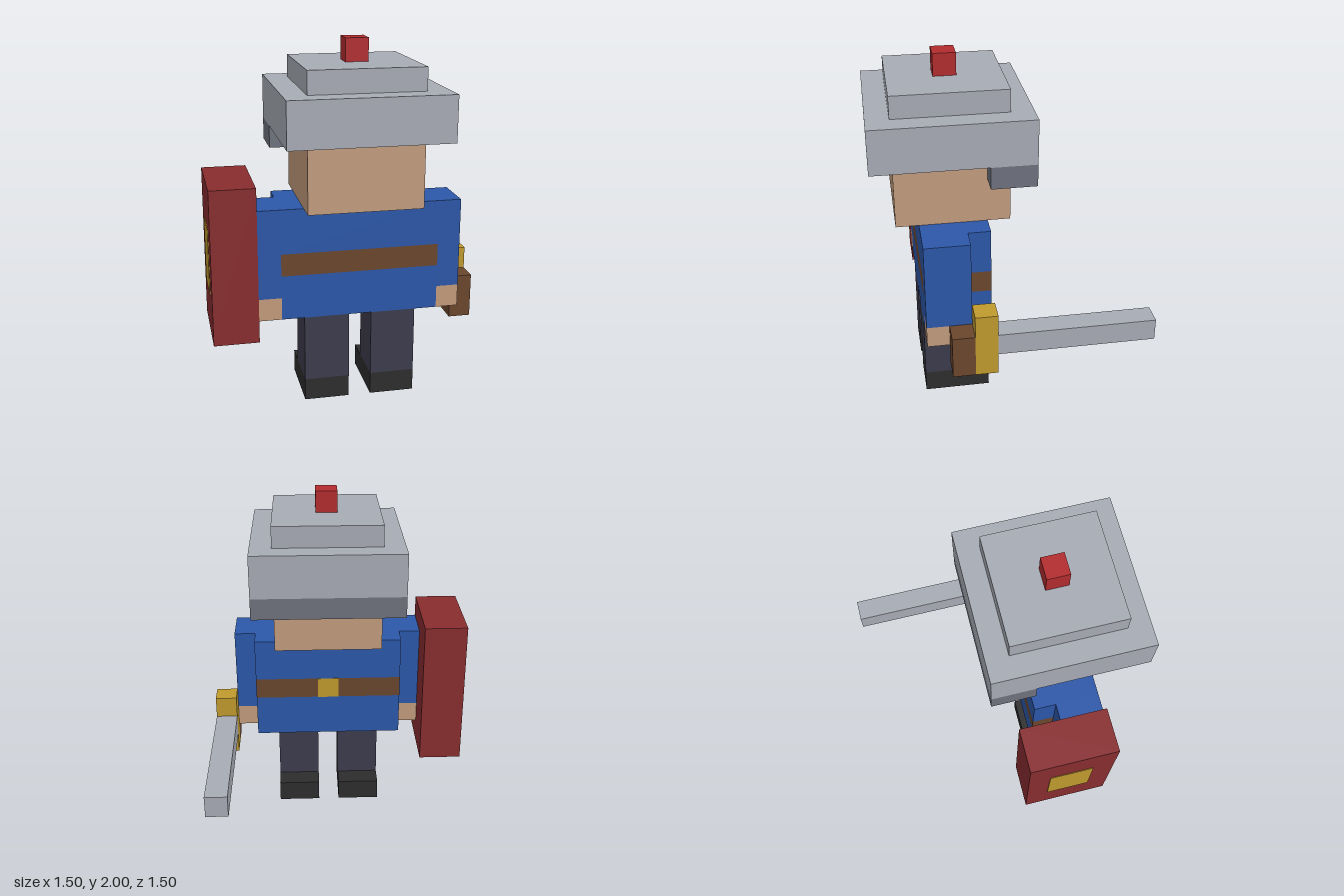
import * as THREE from 'three';

const U = 0.125; // one block

const paint = (name, color) => {
  const m = new THREE.MeshStandardMaterial({ color });
  m.name = name;
  return m;
};

export function createModel() {
  const model = new THREE.Group();
  model.name = 'blockKnight';

  const steel = paint('steel', 0xa7abb4);
  const darkSteel = paint('dark steel', 0x6e727d);
  const plumeRed = paint('plume red', 0xb22c2f);
  const shieldRed = paint('shield red', 0x882d2f);
  const skin = paint('skin', 0xc29b7c);
  const blue = paint('tunic blue', 0x2c57a9);
  const brown = paint('leather brown', 0x6a462d);
  const gold = paint('gold', 0xc09a2e);
  const trousers = paint('trousers', 0x3c3b4d);
  const black = paint('boot black', 0x2d2d2d);

  // Box from [min, max] ranges in blocks
  const block = (name, material, [x0, x1], [y0, y1], [z0, z1], parent = model) => {
    const geometry = new THREE.BoxGeometry((x1 - x0) * U, (y1 - y0) * U, (z1 - z0) * U);
    geometry.translate((x0 + x1) / 2 * U, (y0 + y1) / 2 * U, (z0 + z1) / 2 * U);
    const mesh = new THREE.Mesh(geometry, material);
    mesh.name = name;
    parent.add(mesh);
    return mesh;
  };
  const group = (name) => {
    const g = new THREE.Group();
    g.name = name;
    model.add(g);
    return g;
  };
  const T = 0.03; // plate thickness in blocks

  // Legs and boots, toes towards -z
  for (const [side, x] of [['right', -2], ['left', 1]]) {
    const leg = group(side + 'Leg');
    block('boot', black, [x, x + 2], [0, 1], [1, 4], leg);
    block('trouserLeg', trousers, [x, x + 2], [1, 4], [2, 4], leg);
  }

  // Torso in three layers, with the belt in the middle
  const torso = group('torso');
  block('lowerTunic', blue, [-3, 4], [4, 6], [1, 4], torso);
  block('belt', brown, [-3, 4], [6, 7], [1, 4], torso);
  block('upperTunic', blue, [-3, 4], [7, 9], [1, 4], torso);
  block('buckle', gold, [0, 1], [6, 7], [1 - T, 1], torso);

  // Arms
  for (const [side, x] of [['right', -4], ['left', 4]]) {
    const arm = group(side + 'Arm');
    block('sleeve', blue, [x, x + 1], [5, 9], [2, 4], arm);
    block('hand', skin, [x, x + 1], [4, 5], [2, 4], arm);
  }

  // Head and helmet
  block('head', skin, [-2, 3], [9, 12], [0, 5]);
  const helmet = group('helmet');
  block('visor', darkSteel, [-3, 4], [11, 12], [-1, 0], helmet);
  block('rightCheekGuard', darkSteel, [-3, -2], [11, 12], [0, 1], helmet);
  block('leftCheekGuard', darkSteel, [3, 4], [11, 12], [0, 1], helmet);
  block('brim', steel, [-3, 4], [12, 14], [-1, 6], helmet);
  block('crown', steel, [-2, 3], [14, 15], [0, 5], helmet);
  block('plume', plumeRed, [0, 1], [15, 16], [2, 3], helmet);

  // Shield with a plain plate on its outer face
  const shield = group('shield');
  block('shieldBoard', shieldRed, [-6, -4], [3, 10], [0, 4], shield);
  block('shieldPlate', gold, [-6 - T, -6], [5, 8], [1, 3], shield);

  // Sword pointing towards -z
  const sword = group('sword');
  block('grip', brown, [5, 6], [3, 5], [2, 3], sword);
  block('crossGuard', gold, [5, 6], [3, 6], [1, 2], sword);
  block('blade', steel, [5, 6], [4, 5], [-6, 1], sword);

  return model;
}
